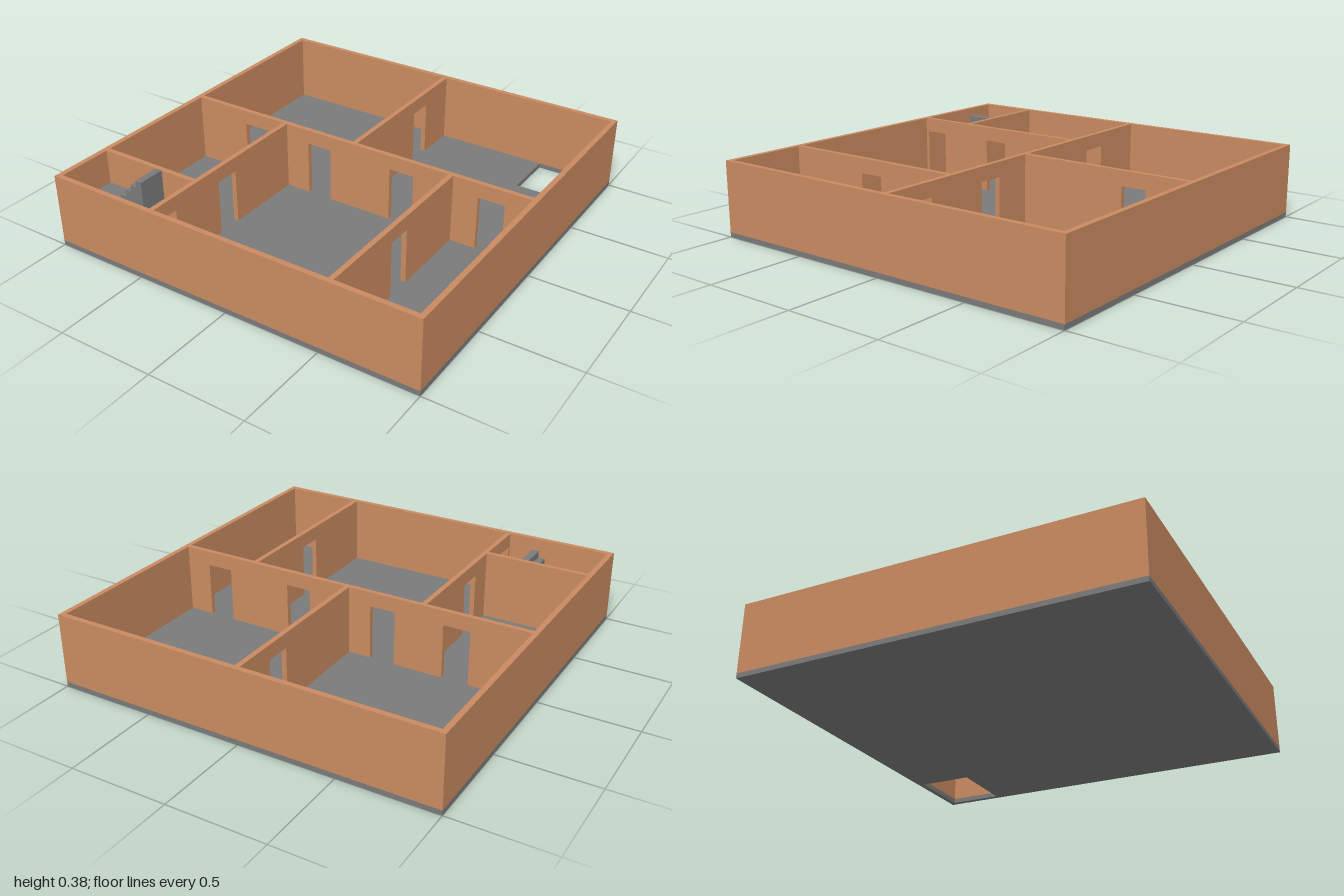
import * as THREE from 'three';

const FLOOR = 0.025, TOP = 0.385, DOOR_TOP = 0.31, THICK = 0.026, IN = 0.973;
const brick = new THREE.MeshStandardMaterial({ color: 0xc98a60 });
const concrete = new THREE.MeshStandardMaterial({ color: 0x7a7a7a });

const rect = (x0, y0, x1, y1, Type = THREE.Shape) =>
  new Type([[x0, y0], [x1, y0], [x1, y1], [x0, y1]].map(p => new THREE.Vector2(...p)));

const extrude = (shape, depth) =>
  new THREE.ExtrudeGeometry(shape, { depth, bevelEnabled: false });

// Extrudes a plan drawn in (x, z) upwards from y0 to y1
function slab(shape, y0, y1) {
  return extrude(shape, y1 - y0).rotateX(Math.PI / 2).translate(0, y1, 0);
}

// Straight wall from a to b along one axis, with door openings cut out to the floor
function wall(axis, centre, a, b, doors = []) {
  const s = new THREE.Shape();
  s.moveTo(a, FLOOR);
  for (const [d0, d1] of doors) {
    s.lineTo(d0, FLOOR);
    s.lineTo(d0, DOOR_TOP);
    s.lineTo(d1, DOOR_TOP);
    s.lineTo(d1, FLOOR);
  }
  s.lineTo(b, FLOOR);
  s.lineTo(b, TOP);
  s.lineTo(a, TOP);
  const g = extrude(s, THICK).translate(0, 0, -THICK / 2);
  if (axis === 'z') return g.rotateY(-Math.PI / 2).translate(centre, 0, 0);
  return g.translate(0, 0, centre);
}

// Solid flight of steps: starts at x, each tread is `run` long (signed)
function flight(x, run, base, rise, count, z0, z1) {
  const s = new THREE.Shape();
  s.moveTo(x, FLOOR);
  for (let i = 0; i < count; i++) {
    s.lineTo(x + i * run, base + (i + 1) * rise);
    s.lineTo(x + (i + 1) * run, base + (i + 1) * rise);
  }
  s.lineTo(x + count * run, FLOOR);
  return extrude(s, z1 - z0).translate(0, 0, z0);
}

export function createModel() {
  const model = new THREE.Group();
  model.name = 'floorOfHouse';
  const add = (name, geometry, material, parent = model) => {
    const mesh = new THREE.Mesh(geometry, material);
    mesh.name = name;
    parent.add(mesh);
  };

  // Floor slab with a stairwell opening in the back corner
  const floor = rect(-1, -1, 1, 1);
  floor.holes.push(rect(0.61, -IN, IN, -0.69, THREE.Path));
  add('floorSlab', slab(floor, 0, FLOOR), concrete);

  // Closed ring of outer walls
  const ring = rect(-1, -1, 1, 1);
  ring.holes.push(rect(-IN, -IN, IN, IN, THREE.Path));
  add('outerWalls', slab(ring, FLOOR, TOP), brick);

  // Inner walls with doorways
  const inner = new THREE.Group();
  inner.name = 'innerWalls';
  model.add(inner);
  add('middleWall', wall('x', -0.046, -IN, IN,
    [[-0.67, -0.53], [-0.27, -0.135], [0.215, 0.35], [0.7, 0.84]]), brick, inner);
  add('backRoomWall', wall('z', -0.002, -IN, -0.059, [[-0.75, -0.62]]), brick, inner);
  add('rightRoomWall', wall('z', -0.416, -0.033, IN,
    [[0.395, 0.525], [0.83, 0.955]]), brick, inner);
  add('leftRoomWall', wall('z', 0.553, -0.033, IN, [[0.39, 0.52]]), brick, inner);
  add('stairRoomWall', wall('x', 0.67, -IN, -0.429), brick, inner);

  // Half-turn stairs: lower flight, landing, upper flight
  const stairs = new THREE.Group();
  stairs.name = 'stairs';
  model.add(stairs);
  const rise = (TOP - FLOOR) / 10, landing = FLOOR + 5 * rise, run = 0.036;
  add('lowerFlight', flight(-0.795 + 4 * run, -run, FLOOR, rise, 4, 0.825, IN), concrete, stairs);
  add('landing', slab(rect(-IN, 0.683, -0.795, IN), FLOOR, landing), concrete, stairs);
  add('upperFlight', flight(-0.795, run, landing, rise, 5, 0.683, 0.825), concrete, stairs);

  return model;
}
